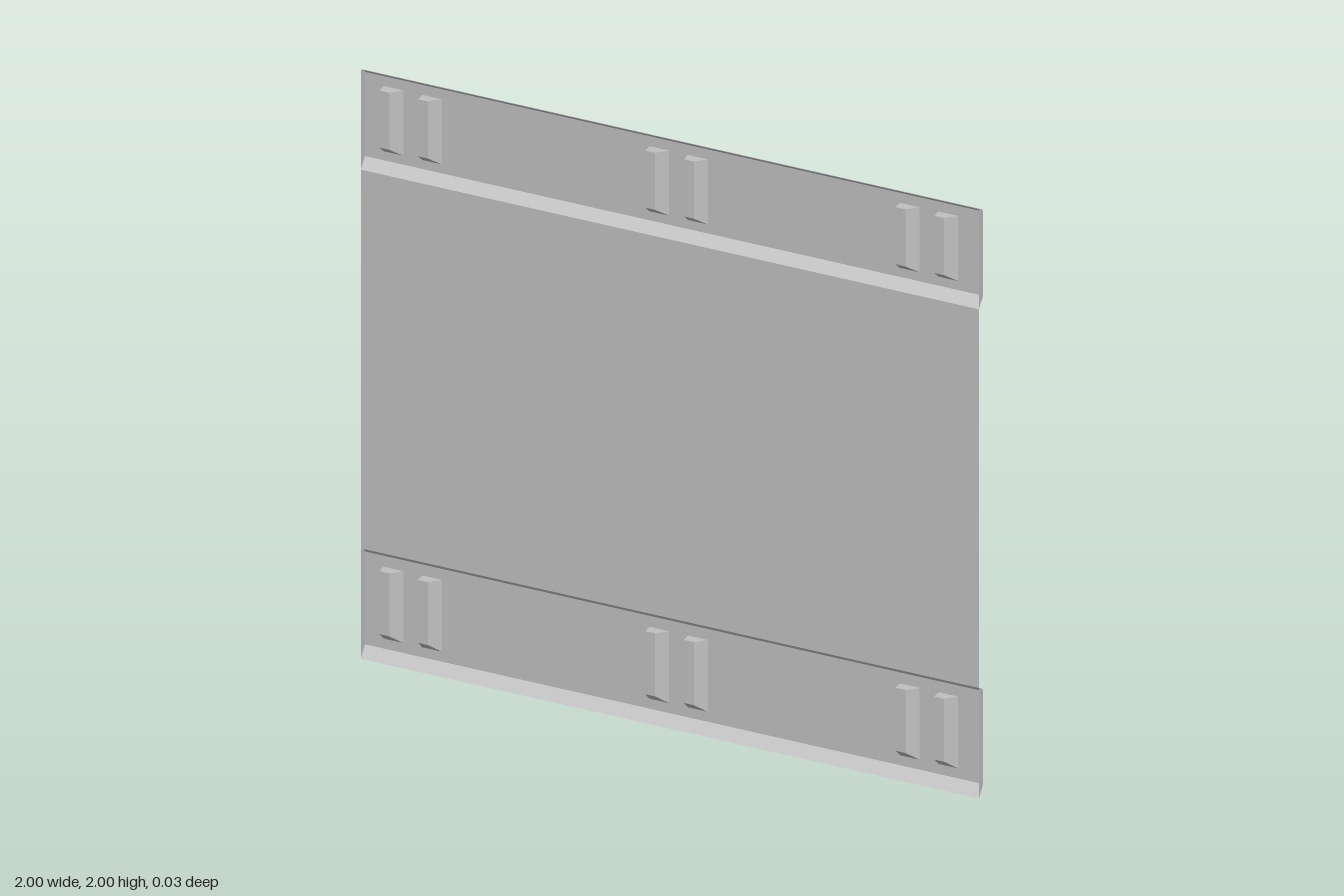
import * as THREE from 'three';

const grey = new THREE.MeshStandardMaterial({ color: 0xc0c0c0, side: THREE.DoubleSide });
grey.name = 'panel grey';

const FRONT = 0.015, BACK = -0.015;
const RIB_X = [-0.94, -0.815, -0.08, 0.045, 0.73, 0.855]; // left edge of each rib
const RIB_W = 0.064;

function addMesh(parent, name, geometry) {
  const mesh = new THREE.Mesh(geometry, grey);
  mesh.name = name;
  parent.add(mesh);
  return mesh;
}

// Flat-shaded geometry from four-cornered faces
function quads(faces) {
  const p = [];
  for (const [a, b, c, d] of faces) p.push(...a, ...b, ...c, ...a, ...c, ...d);
  const g = new THREE.BufferGeometry();
  g.setAttribute('position', new THREE.Float32BufferAttribute(p, 3));
  g.computeVertexNormals();
  return g;
}

// Rectangle running the whole width between two [z, y] profile points
function strip([z0, y0], [z1, y1]) {
  return [[-1, y0, z0], [1, y0, z0], [1, y1, z1], [-1, y1, z1]];
}

// Hollow rib: straight left and top walls, sloping right and bottom walls
function ribFaces(x, y0, y1, h) {
  const z = FRONT - 0.001;
  const base = [[x, y0, BACK], [x + RIB_W, y0, BACK], [x + RIB_W, y1, BACK], [x, y1, BACK]];
  const top = [[x, y0 + 0.08 * h, z], [x + 0.032, y0 + 0.08 * h, z], [x + 0.032, y1, z], [x, y1, z]];
  const faces = [top];
  for (let i = 0; i < 4; i++) {
    const j = (i + 1) % 4;
    faces.push([base[i], base[j], top[j], top[i]]);
  }
  return faces;
}

// Shallow pressed rail, open at the front, with ribs pushed in from behind
function createRail(name, y, h) {
  const rail = new THREE.Group();
  rail.name = name;
  const profile = [
    [FRONT, 0], [BACK, 0.09], [BACK, 0.93], [-0.007, 0.965], [FRONT, 1],
  ].map(([z, f]) => [z, y + f * h]);
  const ribLow = y + 0.18 * h, ribHigh = y + 0.83 * h;

  // Back web with an opening behind each rib
  const web = new THREE.Shape();
  web.moveTo(-1, profile[1][1]).lineTo(1, profile[1][1]);
  web.lineTo(1, profile[2][1]).lineTo(-1, profile[2][1]).closePath();
  for (const x of RIB_X) {
    const hole = new THREE.Path();
    hole.moveTo(x, ribLow).lineTo(x, ribHigh);
    hole.lineTo(x + RIB_W, ribHigh).lineTo(x + RIB_W, ribLow).closePath();
    web.holes.push(hole);
  }
  addMesh(rail, 'backWeb', new THREE.ShapeGeometry(web).translate(0, 0, BACK));

  // Sloping lower lip and folded upper lip
  addMesh(rail, 'lowerLip', quads([strip(profile[0], profile[1])]));
  addMesh(rail, 'upperLip', quads([strip(profile[2], profile[3]), strip(profile[3], profile[4])]));

  // End caps
  const cap = new THREE.Shape(profile.map(([z, py]) => new THREE.Vector2(-z, py)));
  for (const side of [-1, 1]) {
    const g = new THREE.ShapeGeometry(cap).rotateY(Math.PI / 2).translate(side, 0, 0);
    addMesh(rail, side < 0 ? 'rightEndCap' : 'leftEndCap', g);
  }

  // Pressed ribs
  addMesh(rail, 'ribs', quads(RIB_X.flatMap((x) => ribFaces(x, ribLow, ribHigh, h))));
  return rail;
}

export function createModel() {
  const model = new THREE.Group();
  model.name = 'wallPanel';
  model.add(createRail('lowerRail', 0, 0.375), createRail('upperRail', 1.66, 0.34));
  // Thin sheet between the rails
  addMesh(model, 'sheet', quads([strip([FRONT, 0.375], [FRONT, 1.66])]));
  return model;
}
